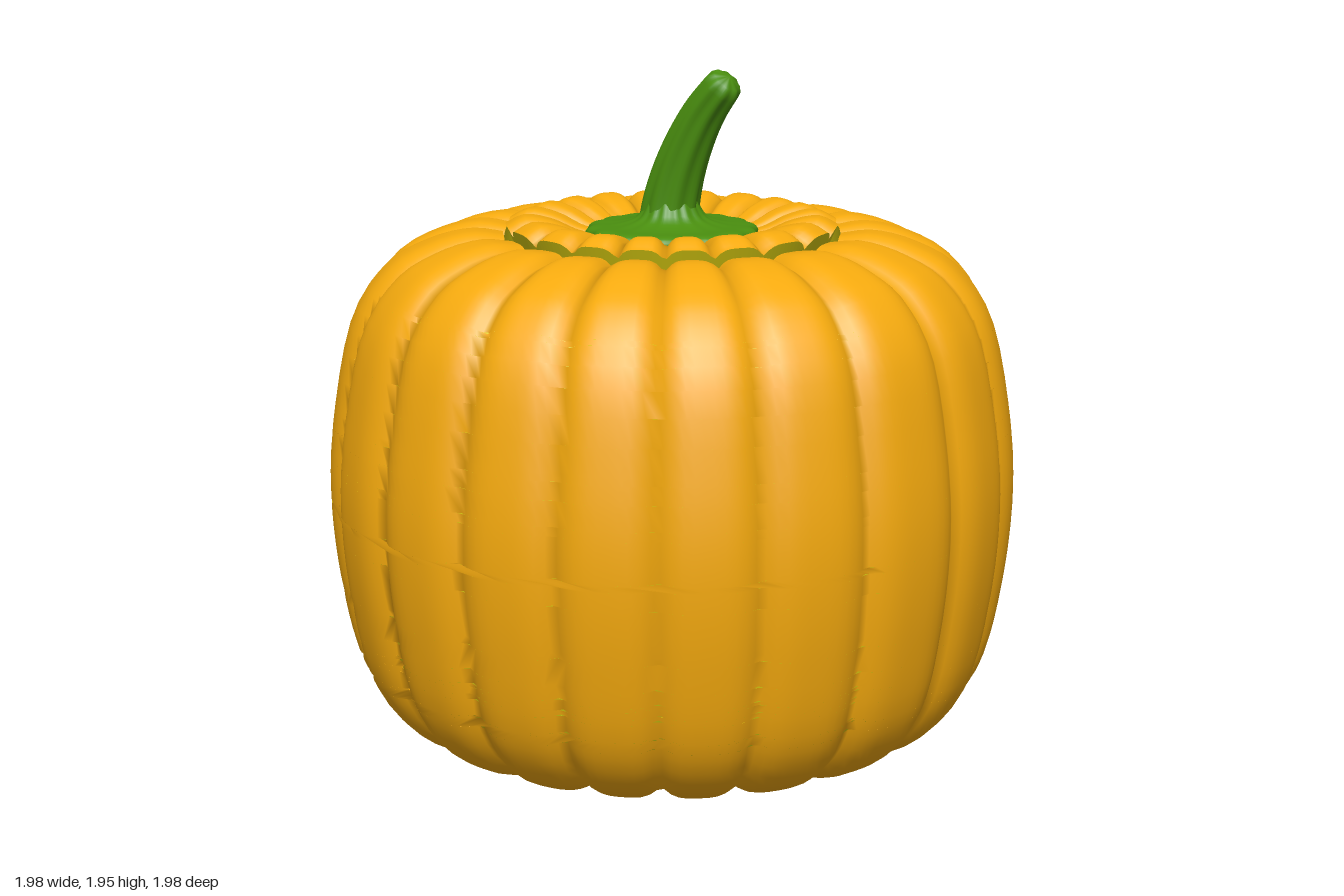
import * as THREE from 'three';
import { mergeVertices } from 'three/addons/utils/BufferGeometryUtils.js';

const ORANGE = 0xf5aa0e, YELLOW = 0xdccf12, GREEN = 0x4a8f0f;
const curve = pts => new THREE.SplineCurve(pts.map(p => new THREE.Vector2(...p)));

// Profiles run from the bottom centre outwards, up, and inwards at the top
const bodyProfile = curve([[0.004, 0.09], [0.16, 0.08], [0.3, 0.03], [0.5, 0.01], [0.68, 0.025],
  [0.82, 0.1], [0.92, 0.25], [0.975, 0.5], [0.995, 0.76], [0.975, 1.0], [0.92, 1.25],
  [0.82, 1.4], [0.7, 1.47], [0.58, 1.5], [0.485, 1.49]]);
const lidProfile = curve([[0.477, 1.515], [0.42, 1.54], [0.34, 1.525], [0.26, 1.49], [0.15, 1.47], [0.004, 1.47]]);

// Ribbed surface point; angle 0 is the carved side (-z), inset moves it inwards
function surface(profile, angle, t, inset) {
  const p = profile.getPoint(t), d = profile.getTangent(t);
  const groove = (1 - Math.abs(Math.sin(10 * (angle + 0.04 * Math.sin(3 * angle))))) ** 2;
  const depth = inset + 0.035 * groove * Math.min(1, p.x / 0.4);
  const r = Math.max(0.002, p.x - d.y * depth), y = p.y + d.x * depth;
  return new THREE.Vector3(r * Math.sin(angle), y, -r * Math.cos(angle));
}

function surfaceNormal(profile, angle, t, inset) {
  const e = 0.004, lo = Math.max(0, t - e), hi = Math.min(1, t + e);
  const du = surface(profile, angle + e, t, inset).sub(surface(profile, angle - e, t, inset));
  const dt = surface(profile, angle, hi, inset).sub(surface(profile, angle, lo, inset));
  return dt.cross(du).normalize().multiplyScalar(inset > 0 ? -1 : 1);
}

// Skin made of horizontal strips, each split where it meets the cut-outs
function skin(profile, cuts, inset, rows) {
  const ts = [];
  for (let i = 0; i <= rows; i++) ts.push(i / rows);
  for (const cut of cuts) for (const p of cut) ts.push(p[1]);
  ts.sort((a, b) => a - b);
  const pos = [], nor = [], idx = [];
  const vertex = (a, t) => {
    pos.push(...surface(profile, a, t, inset));
    nor.push(...surfaceNormal(profile, a, t, inset));
  };
  for (let i = 0; i + 1 < ts.length; i++) {
    const t0 = ts[i], t1 = ts[i + 1], mid = (t0 + t1) / 2;
    if (t1 - t0 < 1e-5) continue;
    const bounds = [[-Math.PI, -Math.PI], [Math.PI, Math.PI]];
    for (const cut of cuts) cut.forEach((p, k) => {
      const q = cut[(k + 1) % cut.length];
      if ((p[1] < mid) === (q[1] < mid)) return;
      const at = t => p[0] + (q[0] - p[0]) * (t - p[1]) / (q[1] - p[1]);
      bounds.push([at(t0), at(t1)]);
    });
    bounds.sort((a, b) => a[0] + a[1] - b[0] - b[1]);
    for (let k = 0; k < bounds.length; k += 2) {
      const [l, r] = [bounds[k], bounds[k + 1]];
      const n = Math.max(1, Math.ceil((r[0] + r[1] - l[0] - l[1]) / 2 / (Math.PI / 110)));
      const base = pos.length / 3;
      for (let j = 0; j <= n; j++) {
        vertex(l[0] + (r[0] - l[0]) * j / n, t0);
        vertex(l[1] + (r[1] - l[1]) * j / n, t1);
      }
      for (let j = 0; j < n; j++) {
        const a = base + 2 * j, d = a + 1, b = a + 2, c = a + 3;
        if (inset > 0) idx.push(a, b, c, a, c, d);
        else idx.push(a, c, b, a, d, c);
      }
    }
  }
  const g = new THREE.BufferGeometry();
  g.setAttribute('position', new THREE.Float32BufferAttribute(pos, 3));
  g.setAttribute('normal', new THREE.Float32BufferAttribute(nor, 3));
  return g.setIndex(idx);
}

// Wall through the flesh along an outline of [angle, t] points
function wall(profile, outline, inset, steps) {
  const pos = [];
  outline.forEach((p, k) => {
    const q = outline[(k + 1) % outline.length];
    for (let j = 0; j < steps; j++) {
      const at = (f, d) => surface(profile, p[0] + (q[0] - p[0]) * f, p[1] + (q[1] - p[1]) * f, d);
      const a = at(j / steps, 0), b = at((j + 1) / steps, 0);
      const c = at((j + 1) / steps, inset), d = at(j / steps, inset);
      for (const v of [a, b, c, a, c, d]) pos.push(...v);
    }
  });
  const g = new THREE.BufferGeometry();
  g.setAttribute('position', new THREE.Float32BufferAttribute(pos, 3));
  g.computeVertexNormals();
  return g;
}

// Full circle outline at one profile parameter
const ring = t => Array.from({ length: 220 }, (_, i) => [(i / 110 - 1) * Math.PI, t])
  .concat([[Math.PI, t]]);

// Turns [degrees, height] on the side of the body into [angle, t]
function onBody([deg, y]) {
  let lo = 4 / 14, hi = 12 / 14;
  for (let i = 0; i < 30; i++) {
    const m = (lo + hi) / 2;
    if (bodyProfile.getPoint(m).y < y) lo = m; else hi = m;
  }
  return [THREE.MathUtils.degToRad(deg - 7.5), lo];
}

export function createModel() {
  const model = new THREE.Group();
  const add = (name, geometry, color, parent = model) => {
    const material = new THREE.MeshStandardMaterial({ color, side: THREE.DoubleSide });
    const mesh = new THREE.Mesh(geometry, material);
    mesh.name = name;
    parent.add(mesh);
  };

  // Carved face: eyes, nose and toothed mouth
  const mirror = half => half.map(([a, y]) => [-a, y]).reverse();
  const eye = [[10.3, 0.95], [35, 0.94], [23, 1.35]];
  const nose = [[-4.7, 0.845], [4.7, 0.845], [0, 0.99]];
  const mouthHalf = [[4.5, 0.6], [5, 0.73], [12, 0.73], [12.5, 0.6], [23.5, 0.595], [24, 0.73],
    [38, 0.71], [39, 0.52], [30, 0.37], [24, 0.33], [22, 0.42], [13, 0.38], [12, 0.27], [3, 0.24]];
  const cuts = [eye, mirror(eye), nose, [...mouthHalf, ...mirror(mouthHalf)]].map(c => c.map(onBody));
  const cutNames = ['leftEyeEdge', 'rightEyeEdge', 'noseEdge', 'mouthEdge'];

  // Hollow body
  const thick = 0.09;
  const body = new THREE.Group();
  body.name = 'body';
  model.add(body);
  add('bodySkin', skin(bodyProfile, cuts, 0, 48), ORANGE, body);
  add('bodyFlesh', skin(bodyProfile, cuts, thick, 48), YELLOW, body);
  add('openingRim', wall(bodyProfile, ring(1), thick, 1), YELLOW, body);
  cuts.forEach((c, i) => add(cutNames[i], wall(bodyProfile, c, thick, 8), YELLOW, body));

  // Lid
  const lid = new THREE.Group();
  lid.name = 'lid';
  model.add(lid);
  add('lidSkin', skin(lidProfile, [], 0, 16), ORANGE, lid);
  add('lidFlesh', skin(lidProfile, [], 0.08, 16), YELLOW, lid);
  add('lidRim', wall(lidProfile, ring(0), 0.08, 1), YELLOW, lid);

  // Stem collar with a scalloped edge
  const collarPoints = [[0.235, 1.45], [0.245, 1.485], [0.225, 1.505], [0.16, 1.51], [0.1, 1.53], [0.07, 1.58]];
  const collar = new THREE.LatheGeometry(curve(collarPoints).getPoints(20), 100);
  const cp = collar.attributes.position;
  for (let i = 0; i < cp.count; i++) {
    const s = 1 + 0.025 * Math.cos(16 * Math.atan2(cp.getX(i), cp.getZ(i)));
    cp.setXYZ(i, cp.getX(i) * s, cp.getY(i), cp.getZ(i) * s);
  }
  collar.deleteAttribute('uv');
  collar.deleteAttribute('normal');
  const smoothCollar = mergeVertices(collar);
  smoothCollar.computeVertexNormals();
  add('stemCollar', smoothCollar, GREEN);

  // Curved, tapering, ridged stem
  const path = new THREE.CatmullRomCurve3([[1.48, -0.015], [1.58, 0], [1.7, 0.04], [1.83, 0.11], [1.945, 0.205]]
    .map(([y, z]) => new THREE.Vector3(0, y, z)));
  const rings = 32, sides = 48;
  let stem = new THREE.TubeGeometry(path, rings, 1, sides);
  const sp = stem.attributes.position, v = new THREE.Vector3();
  for (let i = 0; i < sp.count; i++) {
    const f = Math.floor(i / (sides + 1)) / rings, angle = (i % (sides + 1)) / sides * Math.PI * 2;
    const centre = path.getPointAt(f);
    const tip = Math.sqrt(Math.max(0, 1 - Math.max(0, (f - 0.92) / 0.08) ** 2));
    const radius = (0.085 - 0.035 * f) * tip * (1 + 0.06 * Math.cos(8 * angle));
    v.fromBufferAttribute(sp, i).sub(centre).multiplyScalar(radius).add(centre);
    sp.setXYZ(i, v.x, v.y, v.z);
  }
  stem.deleteAttribute('uv');
  stem.deleteAttribute('normal');
  stem = mergeVertices(stem);
  stem.computeVertexNormals();
  add('stem', stem, GREEN);
  return model;
}
